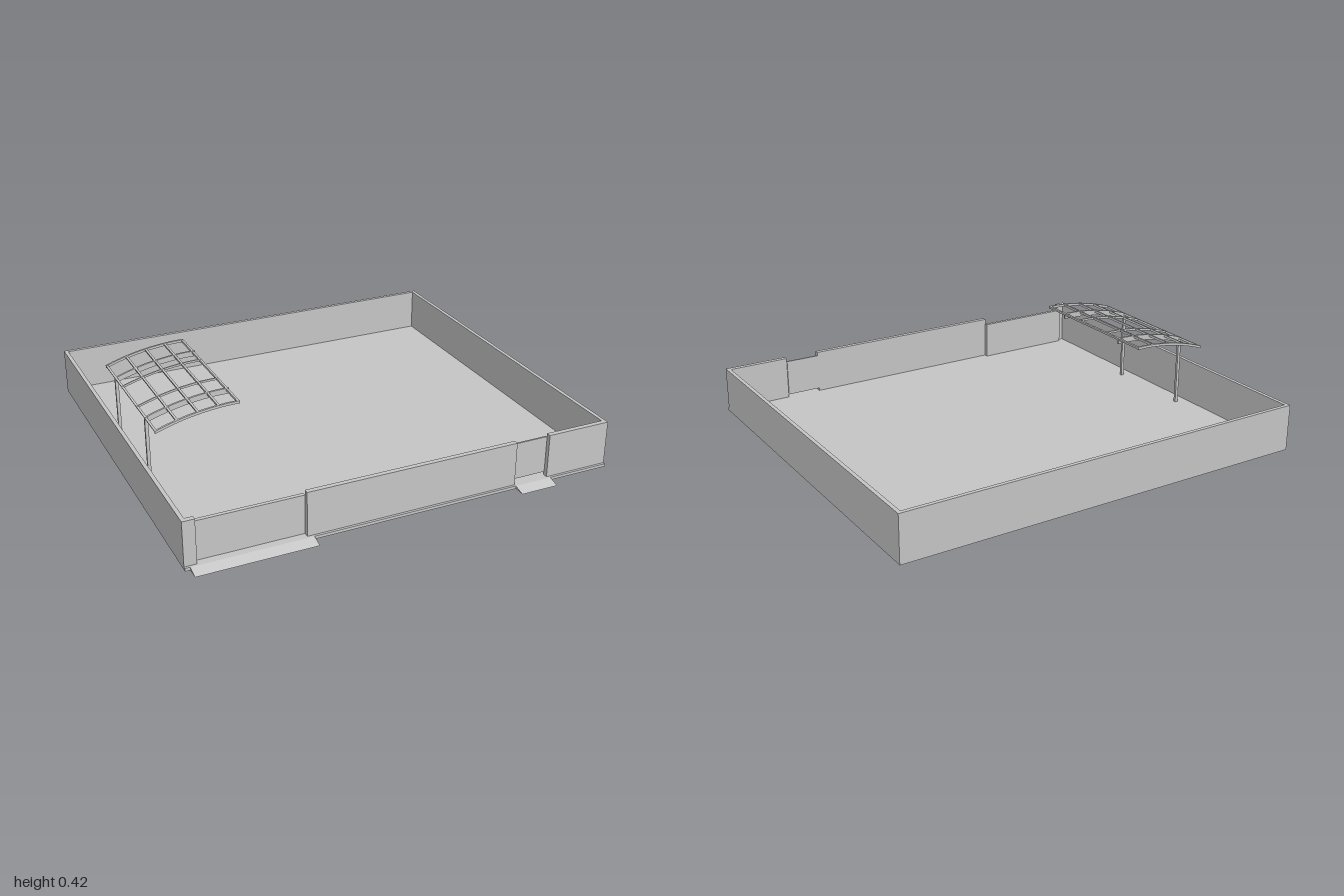
import * as THREE from 'three';

export function createModel() {
  const model = new THREE.Group();
  const grey = new THREE.MeshStandardMaterial({ color: 0xc8c8c8 });
  grey.name = 'light grey';

  const add = (name, geometry, parent = model) => {
    const mesh = new THREE.Mesh(geometry, grey);
    mesh.name = name;
    parent.add(mesh);
    return mesh;
  };
  // Box given by its limits on each axis
  const box = (name, x0, x1, y0, y1, z0, z1, parent) =>
    add(name, new THREE.BoxGeometry(x1 - x0, y1 - y0, z1 - z0), parent)
      .position.set((x0 + x1) / 2, (y0 + y1) / 2, (z0 + z1) / 2);

  const H = 0.22, BACK = -0.93, FRONT = 0.865, SLAB = 0.876, T = 0.018;

  // Ground slab
  box('groundSlab', -1, 1, 0, 0.014, BACK, SLAB);

  // Perimeter walls, with two openings at the front
  const walls = new THREE.Group();
  walls.name = 'perimeterWalls';
  model.add(walls);
  box('backWall', -1, 1, 0.014, H, BACK, BACK + T, walls);
  for (const s of [-1, 1]) {
    const x = s * (1 - T / 2);
    box(s < 0 ? 'rightWall' : 'leftWall', x - T / 2, x + T / 2, 0.014, H, BACK + T, FRONT, walls);
  }
  for (const [x0, x1] of [[-1 + T, -0.945], [-0.47, 0.525], [0.705, 1 - T]])
    box('frontWall', x0, x1, 0.014, H, 0.842, FRONT, walls);

  // Vehicle gate sliding behind the wall, and pedestrian door
  box('slidingGate', -0.95, -0.468, 0.014, 0.195, 0.822, 0.84);
  box('pedestrianDoor', 0.525, 0.692, 0.03, 0.205, 0.836, 0.844);
  box('doorPost', 0.692, 0.705, 0.014, H, 0.842, FRONT);

  // Wedge ramps in front of the openings
  for (const [x0, x1] of [[-0.978, -0.443], [0.525, 0.705]]) {
    const wedge = new THREE.Shape();
    wedge.moveTo(0, 0);
    wedge.lineTo(0.93 - SLAB, 0);
    wedge.lineTo(0, 0.014);
    wedge.closePath();
    const g = new THREE.ExtrudeGeometry(wedge, { depth: x1 - x0, bevelEnabled: false });
    g.rotateY(-Math.PI / 2);
    g.translate(x1, 0, SLAB);
    add('ramp', g);
  }

  // Curved canopy frame
  const canopy = new THREE.Group();
  canopy.name = 'canopy';
  model.add(canopy);
  const R = 1.08, XC = -0.565, TOP = 0.417;
  const arcY = (x) => TOP - R + Math.sqrt(R * R - (x - XC) ** 2);
  const rib = (name, z, width, thick, x0 = -0.93, x1 = -0.55) => {
    const upper = [], lower = [], n = 12;
    for (let i = 0; i <= n; i++) {
      const x = x0 + ((x1 - x0) * i) / n;
      upper.push(new THREE.Vector2(x, arcY(x)));
      lower.unshift(new THREE.Vector2(x, arcY(x) - thick));
    }
    const g = new THREE.ExtrudeGeometry(new THREE.Shape([...upper, ...lower]),
      { depth: width, bevelEnabled: false });
    g.translate(0, 0, z - width / 2);
    add(name, g, canopy);
  };
  for (const z of [-0.38, 0.345]) rib('edgeRib', z, 0.01, 0.012);
  for (const z of [-0.13, 0.09]) rib('innerRib', z, 0.006, 0.01);
  for (const z of [-0.233, 0.207]) {
    rib('supportArm', z, 0.01, 0.026, -0.932, -0.546);
    box('canopyPost', -0.932, -0.917, 0.014, 0.345, z - 0.006, z + 0.006, canopy);
  }
  // Purlins running along the canopy, tilted to follow the arc
  for (const x of [-0.925, -0.83, -0.736, -0.643, -0.555]) {
    const purlin = add('purlin', new THREE.BoxGeometry(0.01, 0.01, 0.735), canopy);
    purlin.position.set(x, arcY(x) - 0.006, -0.0175);
    purlin.rotation.z = -Math.asin((x - XC) / R);
  }
  return model;
}
